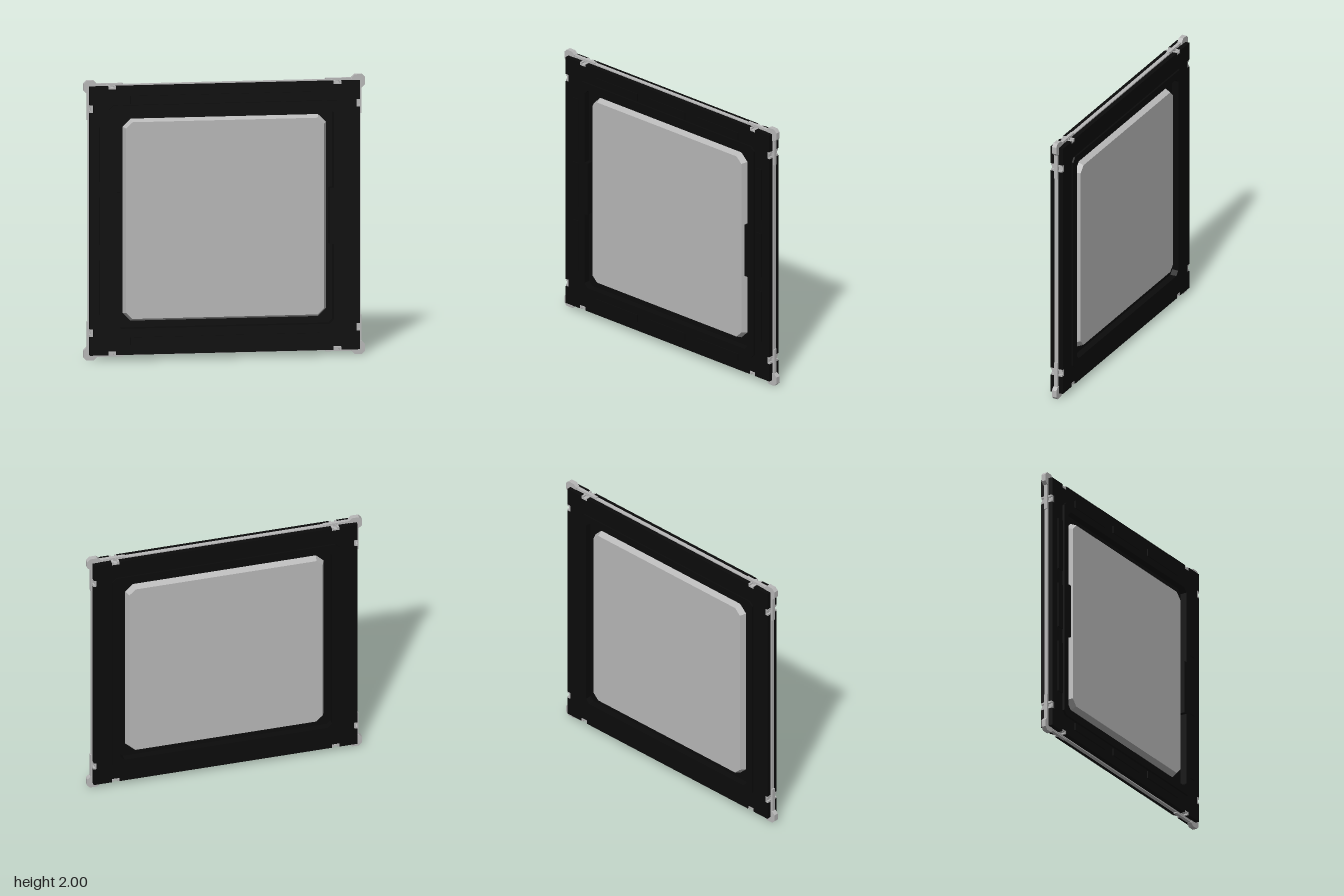
import * as THREE from 'three';

const black = new THREE.MeshStandardMaterial({ color: 0x0b0b0b });
black.name = 'black frame';
const grey = new THREE.MeshStandardMaterial({ color: 0xb8b8b8 });
grey.name = 'light grey';

// Square outline with cut corners
function cutSquare(half, cut, Type = THREE.Shape) {
  const h = half, k = half - cut;
  const pts = [[k, -h], [h, -k], [h, k], [k, h], [-k, h], [-h, k], [-h, -k], [-k, -h]];
  return new Type(pts.map(([x, y]) => new THREE.Vector2(x, y)));
}

// Square outline with a pair of clip notches on every edge
function notchedSquare(half, w, d) {
  const pts = [];
  for (let i = 0; i < 4; i++) {
    const a = i * Math.PI / 2;
    const edge = [[-half, -half]];
    for (const c of [-0.8, 0.8]) {
      edge.push([c - w, -half], [c - w, d - half], [c + w, d - half], [c + w, -half]);
    }
    for (const [x, y] of edge) pts.push(new THREE.Vector2(x, y).rotateAround(new THREE.Vector2(), a));
  }
  return new THREE.Shape(pts);
}

export function createModel() {
  const group = new THREE.Group();
  const body = new THREE.Group();
  body.name = 'framedPanel';
  body.position.y = 1;
  group.add(body);

  const add = (name, geometry, material, parent = body) => {
    const mesh = new THREE.Mesh(geometry, material);
    mesh.name = name;
    parent.add(mesh);
    return mesh;
  };
  const slab = (name, shape, z0, z1, material, parent) => {
    const g = new THREE.ExtrudeGeometry(shape, { depth: z1 - z0, bevelEnabled: false });
    g.translate(0, 0, z0);
    return add(name, g, material, parent);
  };
  const block = (name, x0, x1, y0, y1, z0, z1, material, parent) => {
    const g = new THREE.BoxGeometry(x1 - x0, y1 - y0, z1 - z0);
    g.translate((x0 + x1) / 2, (y0 + y1) / 2, (z0 + z1) / 2);
    return add(name, g, material, parent);
  };
  const ring = (shape, half, cut) => {
    shape.holes.push(cutSquare(half, cut, THREE.Path));
    return shape;
  };

  // Raised centre panel, bevelled on both faces
  const panel = new THREE.ExtrudeGeometry(cutSquare(0.703, 0.045), {
    depth: 0.01, bevelThickness: 0.05, bevelSize: 0.022, bevelSegments: 1,
  });
  panel.translate(0, 0, -0.005);
  add('centrePanel', panel, grey);

  // Black frame: core around the panel, outer slabs and raised inner rings
  slab('frameCore', ring(cutSquare(0.95, 0.02), 0.718, 0.05), -0.012, 0.012, black);
  for (const s of [-1, 1]) {
    const side = s > 0 ? 'front' : 'back';
    const lo = s > 0 ? 0.012 : -0.048, hi = s > 0 ? 0.048 : -0.012;
    slab(side + 'Frame', ring(notchedSquare(0.96, 0.028, 0.028), 0.77, 0.03), lo, hi, black);
    const r0 = s > 0 ? 0.048 : -0.06, r1 = s > 0 ? 0.063 : -0.048;
    slab(side + 'InnerRing', ring(cutSquare(0.825, 0.03), 0.77, 0.03), r0, r1, black);
  }

  // Four sides: rim strips, raised tiles, ring ribs and clips
  for (let i = 0; i < 4; i++) {
    const edge = new THREE.Group();
    edge.name = 'edge' + (i + 1);
    edge.rotation.z = i * Math.PI / 2;
    body.add(edge);

    block('rim', -0.97, 0.97, 0.94, 0.968, -0.014, 0.014, grey, edge);
    for (const [c, w] of [[-0.475, 0.39], [0, 0.34], [0.475, 0.39]]) {
      block('raisedTile', c - w / 2, c + w / 2, 0.835, 0.89, 0.048, 0.056, black, edge);
    }
    if (i % 2) block('innerRib', -0.2, 0.2, 0.742, 0.77, 0.012, 0.063, black, edge);

    for (const c of [-0.8, 0.8]) {
      const outer = Math.sign(c);
      block('rimShoulder', c - 0.08, c + 0.08, 0.95, 0.976, -0.012, 0.012, grey, edge);
      block('cornerArm', Math.min(c, outer * 0.95), Math.max(c, outer * 0.95),
        0.95, 0.976, -0.012, 0.012, grey, edge);
      // Two-pronged clips set into the notches, on both faces
      for (const s of [-1, 1]) {
        const z0 = s > 0 ? 0.012 : -0.044, z1 = s > 0 ? 0.044 : -0.012;
        block('clipBar', c - 0.014, c + 0.014, 0.938, 0.95, z0, z1, grey, edge);
        for (const p of [-0.02, 0.02]) {
          block('clipProng', c + p - 0.007, c + p + 0.007, 0.938, 0.962, z0, z1, grey, edge);
        }
      }
    }

    // Corner bumper
    const bumper = slab('cornerBumper', cutSquare(0.047, 0.022), -0.017, 0.017, grey, edge);
    bumper.position.set(0.953, 0.953, 0);
  }
  return group;
}
